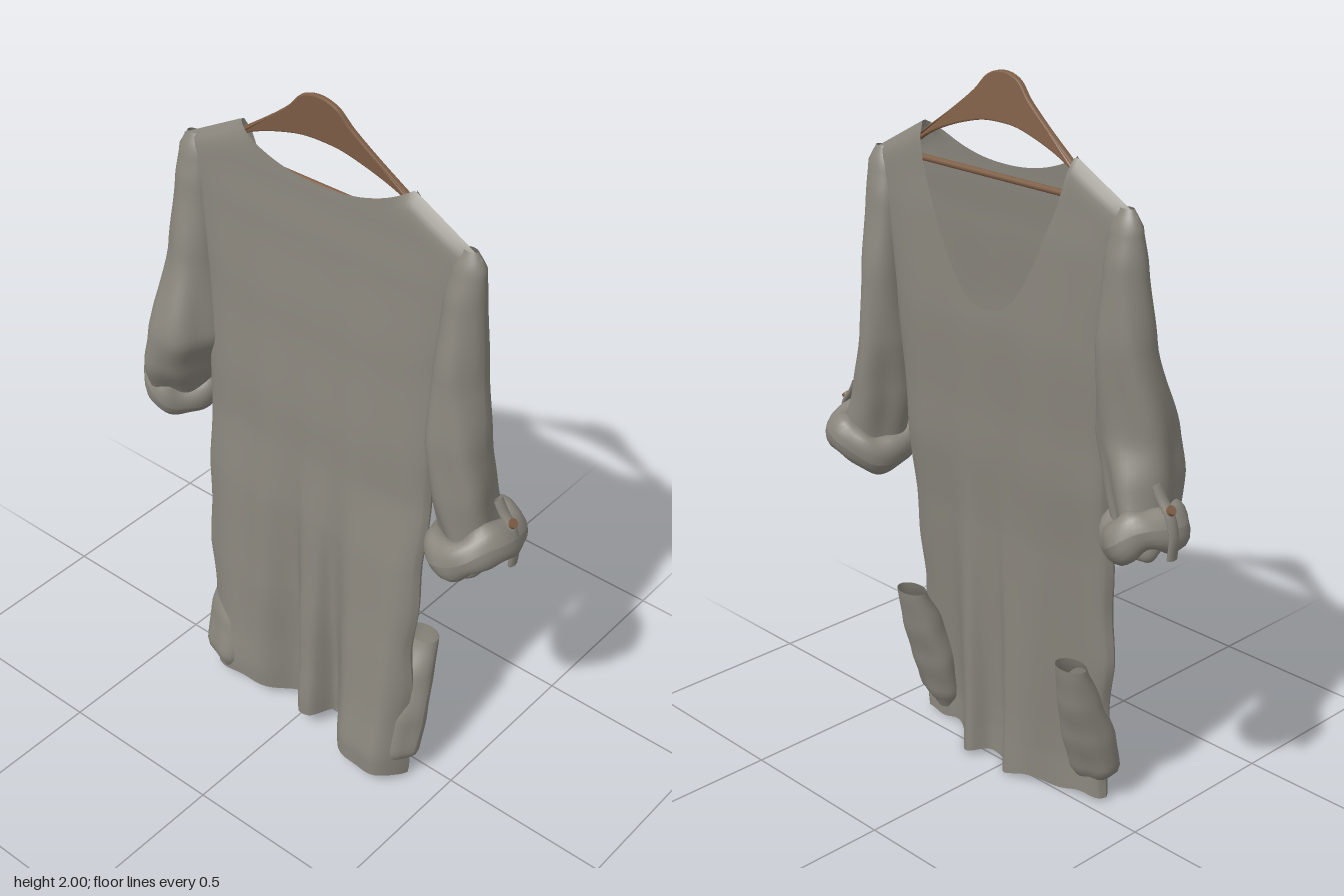
import * as THREE from 'three';

const clamp01 = (t) => Math.min(1, Math.max(0, t));

// Smooth lookup in a short table of rows [key, a, b, ...], keys ascending
function lookup(rows, k, col = 1) {
  if (k <= rows[0][0]) return rows[0][col];
  for (let i = 1; i < rows.length; i++) {
    const a = rows[i - 1], b = rows[i];
    if (k <= b[0]) {
      const t = (k - a[0]) / (b[0] - a[0]);
      return a[col] + (b[col] - a[col]) * t * (0.5 + t * (1.5 - t));
    }
  }
  return rows[rows.length - 1][col];
}

// Cloth body: [height, half width, centre x, front z, back z]
const BODY = [
  [0.0, 0.365, 0.025, 0.03, -0.05],
  [0.2, 0.365, 0.02, 0.035, -0.045],
  [0.45, 0.38, 0.0, 0.05, -0.045],
  [0.75, 0.382, 0.0, 0.06, -0.045],
  [1.05, 0.385, 0.0, 0.05, -0.06],
  [1.35, 0.4, 0.0, 0.03, -0.075],
  [1.6, 0.45, 0.0, 0.012, -0.07],
  [1.72, 0.48, 0.0, 0.002, -0.062],
  [1.84, 0.48, 0.0, -0.005, -0.056],
];

const bump = (x, c, w) => Math.exp(-Math.pow((x - c) / w, 4));

// Forward flutes that deepen towards the hem
function flutes(x, y) {
  const fade = Math.pow(clamp01((0.95 - y) / 0.85), 1.2);
  return fade * ((0.14 + 0.15 * (x - 0.27)) * bump(x, 0.28, 0.135)
    + (0.095 - 0.15 * (x + 0.25)) * bump(x, -0.25, 0.17) + 0.07 * bump(x, 0.035, 0.05));
}

function topEdge(x, isFront) {
  const a = Math.abs(x);
  if (a > 0.275) return 1.835 - (a - 0.275) * 0.54;
  return isFront ? 1.76 + 0.075 * Math.pow(a / 0.275, 2.2)
    : 1.39 + 0.445 * Math.pow(a / 0.275, 2.6);
}

// One body panel: a grid pulled into shape; both panels meet at the side seams
function panel(isFront) {
  const g = new THREE.PlaneGeometry(2, 1, 112, 84);
  const p = g.attributes.position;
  for (let i = 0; i < p.count; i++) {
    const u = isFront ? p.getX(i) : -p.getX(i);
    const t = p.getY(i) + 0.5;
    const seam = Math.pow(Math.abs(u), 8);
    const hem = THREE.MathUtils.lerp(isFront ? 0.045 + 0.012 * Math.sin(u * 7) : 0.012 + 0.01 * Math.sin(u * 13), 0.012, seam);
    const y = hem + t * (topEdge(u * 0.48, isFront) - hem);
    const x = lookup(BODY, y, 2) + u * lookup(BODY, y, 1) + 0.006 * seam * Math.sin(y * 23) * clamp01(1.2 - y);
    const f = flutes(x, y);
    const low = clamp01((1.6 - y) / 1.2);
    const front = lookup(BODY, y, 3) + f - 0.03 * low * low * (1 - bump(x, 0.035, 0.3))
      + low * 0.005 * Math.sin(x * 41 + y) + low * 0.004 * Math.sin(x * 23 - y * 2);
    const back = lookup(BODY, y, 4) + f * 0.6 + low * 0.009 * Math.sin(x * 27 + 1 + y * 1.5);
    const mid = (front + back) / 2 + 0.01 * low;
    const puff = Math.sqrt(Math.max(0, 1 - Math.pow(Math.abs(u), 5)));
    const z = THREE.MathUtils.lerp(mid, isFront ? front : back, puff);
    // the cloth closes in a rounded fold over the shoulder line
    const drop = clamp01((1.835 - Math.max(0, Math.abs(x) - 0.275) * 0.54 - y) / 0.07);
    const fold = Math.sqrt(1 - (1 - drop) * (1 - drop));
    const onShoulder = THREE.MathUtils.smoothstep(Math.abs(x), 0.2, 0.278);
    p.setXYZ(i, x, y, THREE.MathUtils.lerp(z, THREE.MathUtils.lerp(-0.031, z, fold), onShoulder));
  }
  g.computeVertexNormals();
  return g;
}

// Soft open tube through ellipses [y, centre x, centre z, radius x, radius z], with folds
function softTube(rows, fold, seed, n = 44, m = 40) {
  const g = new THREE.PlaneGeometry(1, 1, n, m);
  const p = g.attributes.position;
  const y0 = rows[0][0], y1 = rows[rows.length - 1][0];
  for (let i = 0; i < p.count; i++) {
    const a = -(p.getX(i) + 0.5) * Math.PI * 2;
    const t = p.getY(i) + 0.5;
    const y = y0 + (y1 - y0) * t;
    const k = 1 + fold * (1 - t) * (Math.sin(a * 3 + seed + y * 5) + 0.7 * Math.sin(a * 5 - y * 9 + seed * 2));
    p.setXYZ(i, lookup(rows, y, 1) + Math.cos(a) * lookup(rows, y, 3) * k,
      y, lookup(rows, y, 2) + Math.sin(a) * lookup(rows, y, 4) * k);
  }
  g.computeVertexNormals();
  return g;
}

// Softly creased rolled ring lying flat
function roll(rx, rz, tube, height, seed) {
  const g = new THREE.TorusGeometry(1, 1, 18, 56);
  const p = g.attributes.position;
  for (let j = 0, i = 0; j <= 18; j++) {
    for (let k = 0; k <= 56; k++, i++) {
      const a = (k / 56) * Math.PI * 2, b = (j / 18) * Math.PI * 2;
      const s = 1 + 0.09 * Math.sin(a * 4 + seed) + 0.05 * Math.sin(a * 7 + b * 2 + seed * 3);
      const r = Math.cos(b) * tube * s;
      p.setXYZ(i, Math.cos(a) * (rx + r), Math.sin(b) * height * s + 0.01 * Math.sin(a * 3 + seed), -Math.sin(a) * (rz + r));
    }
  }
  g.computeVertexNormals();
  return g;
}

export function createModel() {
  const model = new THREE.Group();
  model.name = 'tunicOnHanger';
  const cloth = new THREE.MeshStandardMaterial({ color: 0x8a867d, side: THREE.DoubleSide });
  cloth.name = 'grey linen';
  const wood = new THREE.MeshStandardMaterial({ color: 0x7f5f47 });
  wood.name = 'brown wood';
  const add = (name, geometry, material, parent = model) => {
    const mesh = new THREE.Mesh(geometry, material);
    mesh.name = name;
    parent.add(mesh);
    return mesh;
  };

  add('frontPanel', panel(true), cloth);
  add('backPanel', panel(false), cloth);

  // Sleeves, hanging from the shoulder points
  add('leftSleeve', softTube([
    [0.88, 0.5, -0.035, 0.075, 0.09], [1.05, 0.472, -0.022, 0.08, 0.095],
    [1.2, 0.452, -0.02, 0.078, 0.093], [1.4, 0.44, -0.028, 0.064, 0.08],
    [1.6, 0.437, -0.03, 0.056, 0.052], [1.7, 0.444, -0.031, 0.046, 0.032], [1.74, 0.445, -0.031, 0.02, 0.012],
  ], 0.09, 1), cloth);
  add('rightSleeve', softTube([
    [0.9, -0.525, -0.025, 0.068, 0.085], [1.05, -0.485, 0.01, 0.09, 0.11],
    [1.16, -0.452, 0.022, 0.105, 0.105], [1.4, -0.445, -0.02, 0.076, 0.075],
    [1.6, -0.445, -0.03, 0.058, 0.052], [1.7, -0.444, -0.031, 0.046, 0.032], [1.74, -0.445, -0.031, 0.02, 0.012],
  ], 0.09, 3.5), cloth);

  // Rolled cuffs, each with a buttoned tab on the outside
  for (const [name, side, x, y, rx, rz] of [
    ['leftCuff', 1, 0.508, 0.893, 0.09, 0.102], ['rightCuff', -1, -0.53, 0.925, 0.073, 0.085],
  ]) {
    const cuff = new THREE.Group();
    cuff.name = name;
    cuff.position.set(x, y, -0.033);
    cuff.rotation.z = side * 0.42;
    add('outerRoll', roll(rx, rz, 0.04, 0.056, side + 2), cloth, cuff);
    add('innerRoll', roll(rx - 0.018, rz - 0.018, 0.024, 0.035, side * 2), cloth, cuff).position.y = -0.025;
    model.add(cuff);

    const path = new THREE.CatmullRomCurve3([
      [0.05, 0.145], [0.07, 0.11], [0.097, 0.075], [0.112, 0.02], [0.108, -0.04],
    ].map(([dx, dy]) => new THREE.Vector3(x + side * dx, y + dy, 0)));
    const tab = add('cuffTab', new THREE.TubeGeometry(path, 16, 0.009, 8), cloth);
    tab.scale.z = 2.0;
    tab.position.z = -0.05;
    const button = add('cuffButton', new THREE.CylinderGeometry(0.013, 0.013, 0.01, 16), wood);
    button.position.set(x + side * 0.1, y + 0.09, -0.05);
    button.rotation.z = -side * 0.8;
  }

  // Sagging pockets low on the back corners, leaning forward with the cloth
  for (const [name, side, x] of [['leftPocket', 1, 0.335], ['rightPocket', -1, -0.285]]) {
    add(name, softTube([
      [0.04, x - side * 0.01, 0.07, 0.035, 0.03], [0.1, x, 0.065, 0.075, 0.06],
      [0.22, x, 0.035, 0.08, 0.066], [0.34, x + side * 0.005, -0.008, 0.066, 0.054], [0.45, x + side * 0.01, -0.046, 0.05, 0.034],
    ], 0.08, side * 2, 36, 24), cloth);
  }

  // Hanger: a bowed wooden yoke whose ends run inside the shoulders, and a thin bar
  const half = [[0.4, 1.715], [0.31, 1.785], [0.25, 1.828], [0.17, 1.885], [0.1, 1.94], [0.055, 1.985], [0, 2.0]];
  const yoke = new THREE.Shape();
  yoke.moveTo(-0.4, 1.715);
  yoke.splineThru([...half.slice(1).map(([x, y]) => new THREE.Vector2(-x, y)),
    ...half.slice(0, -1).reverse().map(([x, y]) => new THREE.Vector2(x, y))]);
  yoke.lineTo(0.39, 1.705);
  yoke.splineThru([[0.25, 1.805], [0.1, 1.86], [0, 1.872], [-0.1, 1.86], [-0.25, 1.805], [-0.39, 1.705]]
    .map(([x, y]) => new THREE.Vector2(x, y)));
  const yokeGeo = new THREE.ExtrudeGeometry(yoke, {
    depth: 0.008, curveSegments: 40, bevelThickness: 0.004, bevelSize: 0.004, bevelOffset: -0.004, bevelSegments: 2,
  });
  const p = yokeGeo.attributes.position;
  for (let i = 0; i < p.count; i++) p.setZ(i, p.getZ(i) - 0.034 + 0.12 * Math.max(0, p.getY(i) - 1.8));
  yokeGeo.computeVertexNormals();
  add('hangerYoke', yokeGeo, wood);
  const bar = add('hangerBar', new THREE.CylinderGeometry(0.009, 0.009, 0.74, 12), wood);
  bar.rotation.z = Math.PI / 2;
  bar.position.set(0, 1.735, -0.032);

  return model;
}
